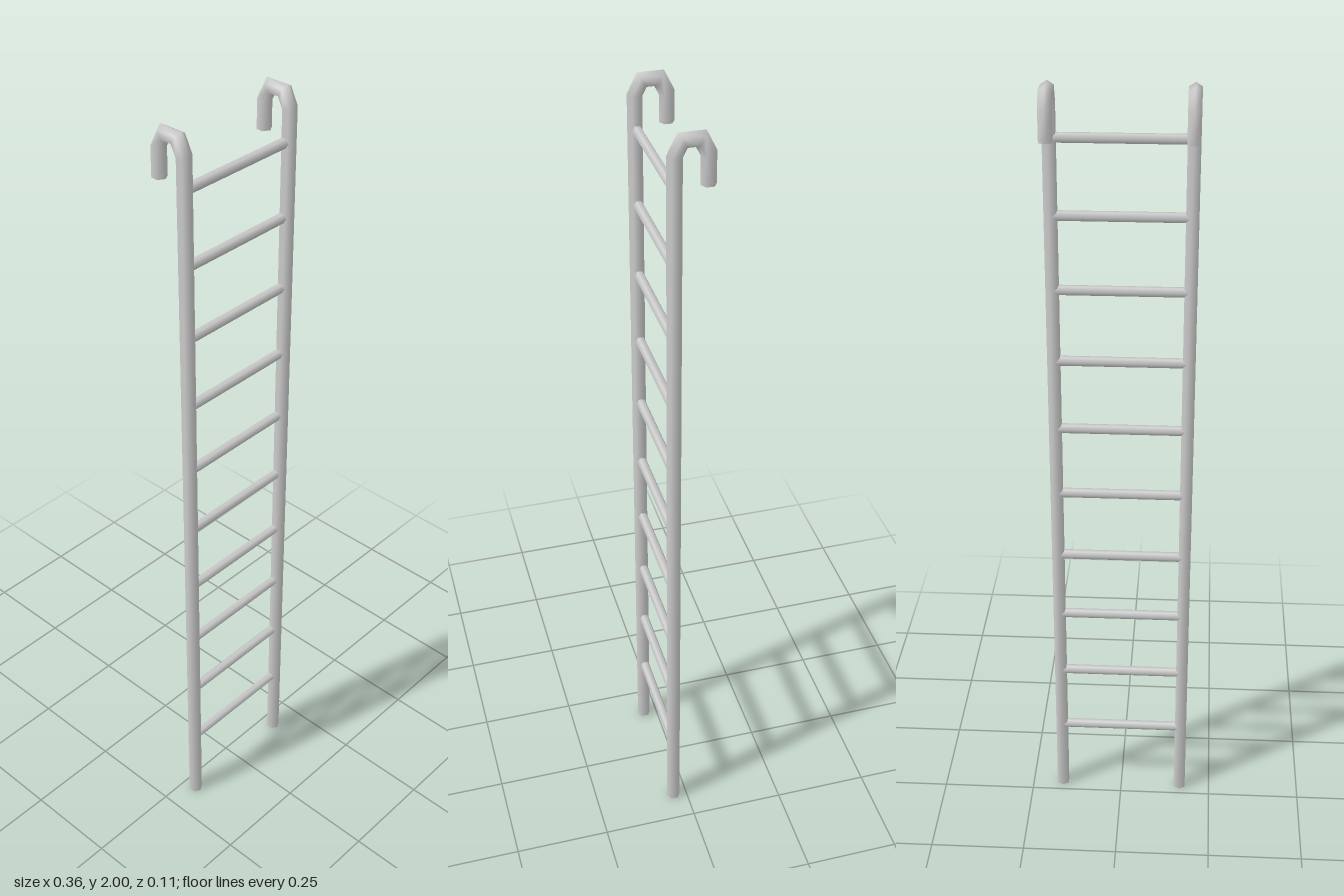
import * as THREE from 'three';

const SIDES = 6;
const RAIL_R = 0.018;

// Mitred tube swept along [y, z] points, closed with flat ends
function railGeometry(path) {
  const pts = path.map(([y, z]) => new THREE.Vector3(0, y, z));
  const pos = [], idx = [];
  const rings = pts.map((p, i) => {
    const tin = p.clone().sub(pts[Math.max(i - 1, 0)]).normalize();
    const tout = pts[Math.min(i + 1, pts.length - 1)].clone().sub(p).normalize();
    const t = tin.clone().add(tout).normalize();
    const stretch = 1 / t.dot(tin.lengthSq() ? tin : tout);
    return Array.from({ length: SIDES }, (_, j) => {
      const a = (j / SIDES) * Math.PI * 2;
      const c = Math.cos(a) * RAIL_R * stretch;
      return [Math.sin(a) * RAIL_R, p.y - t.z * c, p.z + t.y * c];
    });
  });
  rings.forEach((ring) => ring.forEach((v) => pos.push(...v)));
  for (let i = 0; i < rings.length - 1; i++) {
    for (let j = 0; j < SIDES; j++) {
      const k = (j + 1) % SIDES;
      const a = i * SIDES + j, b = i * SIDES + k;
      idx.push(a, b, b + SIDES, a, b + SIDES, a + SIDES);
    }
  }
  // End caps with their own vertices so the rims stay sharp
  [rings[0], rings[rings.length - 1]].forEach((ring, end) => {
    const base = pos.length / 3;
    ring.forEach((v) => pos.push(...v));
    for (let j = 1; j < SIDES - 1; j++) {
      if (end) idx.push(base, base + j, base + j + 1);
      else idx.push(base, base + j + 1, base + j);
    }
  });
  const g = new THREE.BufferGeometry();
  g.setAttribute('position', new THREE.Float32BufferAttribute(pos, 3));
  g.setIndex(idx);
  g.computeVertexNormals();
  return g;
}

export function createModel() {
  const ladder = new THREE.Group();
  ladder.name = 'hookLadder';
  const material = new THREE.MeshStandardMaterial({ color: 0xcccccc });

  // Side rails, each bent over into a hook at the top
  const rail = railGeometry([
    [0, 0.037], [1.948, 0.037], [1.982, 0.02],
    [1.982, -0.02], [1.948, -0.037], [1.878, -0.037],
  ]);
  for (const [side, name] of [[1, 'leftRail'], [-1, 'rightRail']]) {
    const mesh = new THREE.Mesh(rail, material);
    mesh.name = name;
    mesh.position.x = side * 0.166;
    ladder.add(mesh);
  }

  // Evenly spaced rungs
  const rung = new THREE.CylinderGeometry(0.0125, 0.0125, 0.32, SIDES).rotateZ(Math.PI / 2);
  for (let i = 0; i < 10; i++) {
    const mesh = new THREE.Mesh(rung, material);
    mesh.name = `rung${i + 1}`;
    mesh.position.set(0, 0.21 + i * 0.1844, 0.035);
    ladder.add(mesh);
  }
  return ladder;
}
